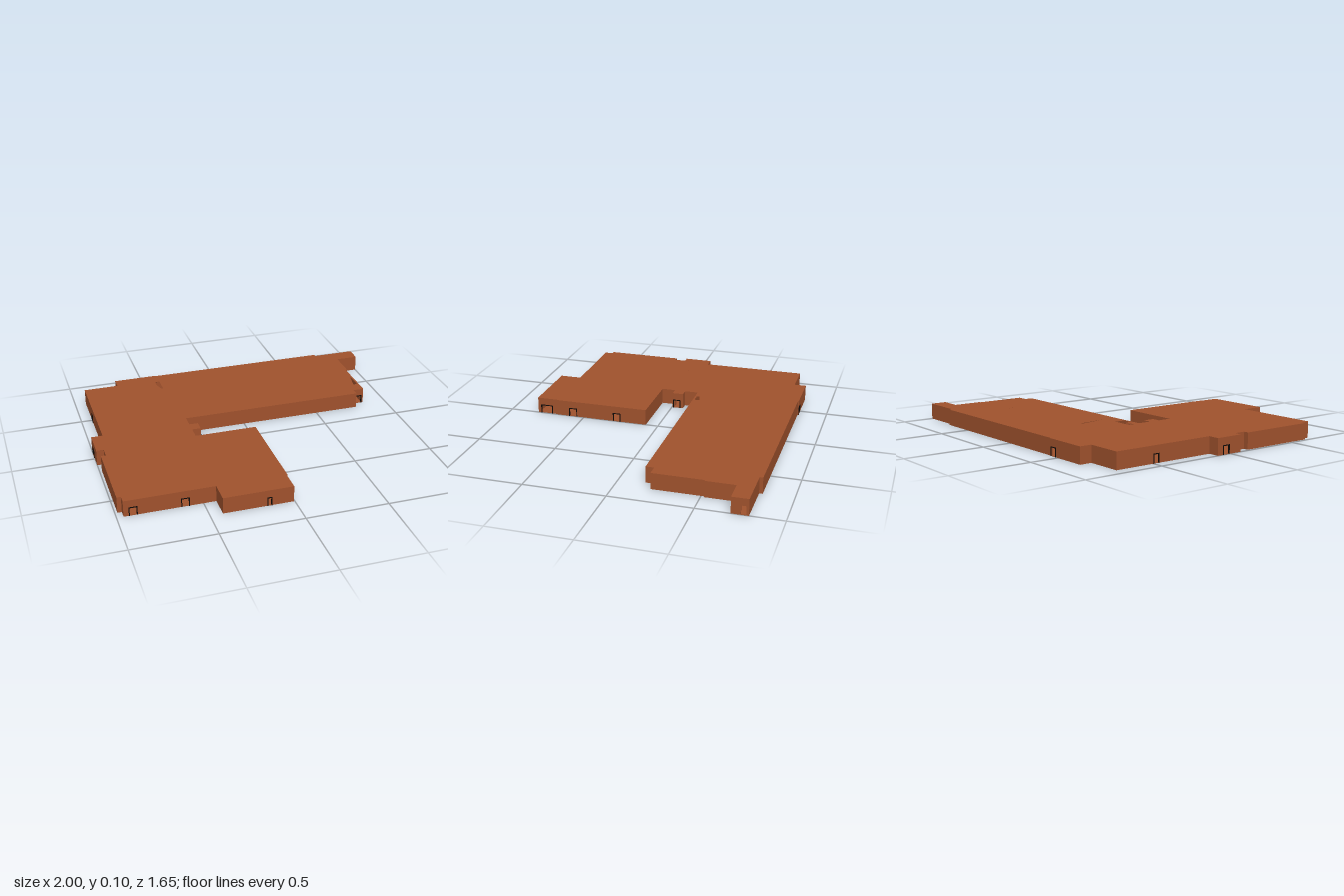
import * as THREE from 'three';

const HEIGHT = 0.1, WALL = 0.012, ROOF = 0.015, FLOOR = 0.004, DOOR = 0.055;

// Plan corners [x, z], running clockwise as seen from above
const plan = [
  [-0.71, -0.825], [-0.43, -0.825], [-0.43, -0.82], [0.73, -0.82], [0.73, -0.8], [1, -0.8],
  [1, -0.7], [0.86, -0.7], [0.86, -0.52], [0.85, -0.52], [0.85, -0.21], [0.78, -0.21],
  [0.78, -0.16], [-0.385, -0.16], [-0.385, -0.075], [-0.33, -0.075], [-0.33, -0.005],
  [-0.385, -0.005], [-0.385, 0.08], [0, 0.08], [0, 0.68], [-0.005, 0.68], [-0.005, 0.815],
  [-0.425, 0.815], [-0.425, 0.68], [-0.96, 0.68], [-0.96, 0.63], [-0.985, 0.63],
  [-0.985, 0.15], [-0.955, 0.15], [-0.955, 0.08], [-1, 0.08], [-1, -0.095],
  [-0.93, -0.095], [-0.93, -0.75], [-0.71, -0.75],
];

// Door centres on the walls: x, z, width, framed
const doors = [
  [-0.905, 0.68, 0.05, true], [-0.605, 0.68, 0.05, true], [-0.15, 0.815, 0.03, true],
  [0.815, -0.21, 0.05, true], [-0.005, 0.755, 0.08, true], [0, 0.572, 0.055, true],
  [0, 0.275, 0.05, true], [-0.33, -0.033, 0.05, true], [-1, -0.033, 0.05, true],
  [-0.93, -0.48, 0.04, true], [-0.46, -0.825, 0.05, true], [1, -0.77, 0.03, false],
];

// Broken openings in the roof
const roofHoles = [
  [[-0.455, -0.73], [-0.425, -0.73], [-0.425, -0.58], [-0.455, -0.68]],
  [[-0.19, -0.43], [-0.175, -0.43], [-0.153, -0.24]],
  [[-0.39, -0.24], [-0.26, -0.24], [-0.26, -0.17], [-0.32, -0.17], [-0.32, -0.205], [-0.39, -0.205]],
  [[0.835, -0.4], [0.84, -0.29], [0.812, -0.29]],
  [[0.33, -0.528], [0.358, -0.522], [0.33, -0.52]],
  [[0.53, -0.51], [0.54, -0.46], [0.534, -0.46]],
  [[-0.78, 0.003], [-0.76, 0.003], [-0.76, 0.009]],
];
const floorHoles = [[[-0.36, 0.12], [-0.04, 0.12], [-0.04, 0.17], [-0.36, 0.17]]];

const toPoints = (list) => list.map(([x, z]) => new THREE.Vector2(x, -z));

// Horizontal plate with the outline of the plan
function plate(holes, depth) {
  const shape = new THREE.Shape(toPoints(plan));
  holes.forEach((h) => shape.holes.push(new THREE.Path(toPoints(h))));
  return new THREE.ExtrudeGeometry(shape, { depth, bevelEnabled: false }).rotateX(-Math.PI / 2);
}

// Upright panel from its corners, its front at z = front
function panel(corners, depth, front) {
  const shape = new THREE.Shape(corners.map(([x, y]) => new THREE.Vector2(x, y)));
  return new THREE.ExtrudeGeometry(shape, { depth, bevelEnabled: false }).translate(0, 0, front - depth);
}

export function createModel() {
  const group = new THREE.Group();
  const brown = new THREE.MeshStandardMaterial({ color: 0xa0522d });
  brown.name = 'brown clay';
  const black = new THREE.MeshStandardMaterial({ color: 0x0c0806 });
  black.name = 'black frame';

  const add = (parent, name, geometry, material) => {
    const mesh = new THREE.Mesh(geometry, material);
    mesh.name = name;
    parent.add(mesh);
    return mesh;
  };

  add(group, 'floor', plate(floorHoles, FLOOR), brown);
  add(group, 'roof', plate(roofHoles, ROOF), brown).position.y = HEIGHT - ROOF;

  // One wall for each side of the plan, with its doors cut from the bottom edge
  plan.forEach(([x0, z0], i) => {
    const [x1, z1] = plan[(i + 1) % plan.length];
    const length = Math.hypot(x1 - x0, z1 - z0);
    const dx = (x1 - x0) / length, dz = (z1 - z0) / length;
    const side = new THREE.Group();
    side.name = 'wallSide' + i;
    side.position.set(x1, 0, z1);
    side.rotation.y = Math.atan2(dz, -dx);
    group.add(side);

    const corners = [[0, 0]];
    doors
      .map(([x, z, w, framed]) => ({
        u: (x1 - x) * dx + (z1 - z) * dz,
        off: Math.abs((x - x1) * dz - (z - z1) * dx),
        w, framed,
      }))
      .filter((d) => d.off < 0.001 && d.u > d.w / 2 && d.u < length - d.w / 2)
      .sort((a, b) => a.u - b.u)
      .forEach(({ u, w, framed }) => {
        const a = u - w / 2, b = u + w / 2;
        corners.push([a, 0], [a, DOOR], [b, DOOR], [b, 0]);
        if (!framed) return;
        // Thin frame round the opening
        const t = 0.005;
        add(side, 'doorFrame', panel([
          [a, 0], [a + t, 0], [a + t, DOOR - t], [b - t, DOOR - t],
          [b - t, 0], [b, 0], [b, DOOR], [a, DOOR],
        ], 0.009, 0.003), black);
      });
    corners.push([length, 0], [length, HEIGHT], [0, HEIGHT]);
    add(side, 'wall', panel(corners, WALL, 0), brown);
  });

  return group;
}
